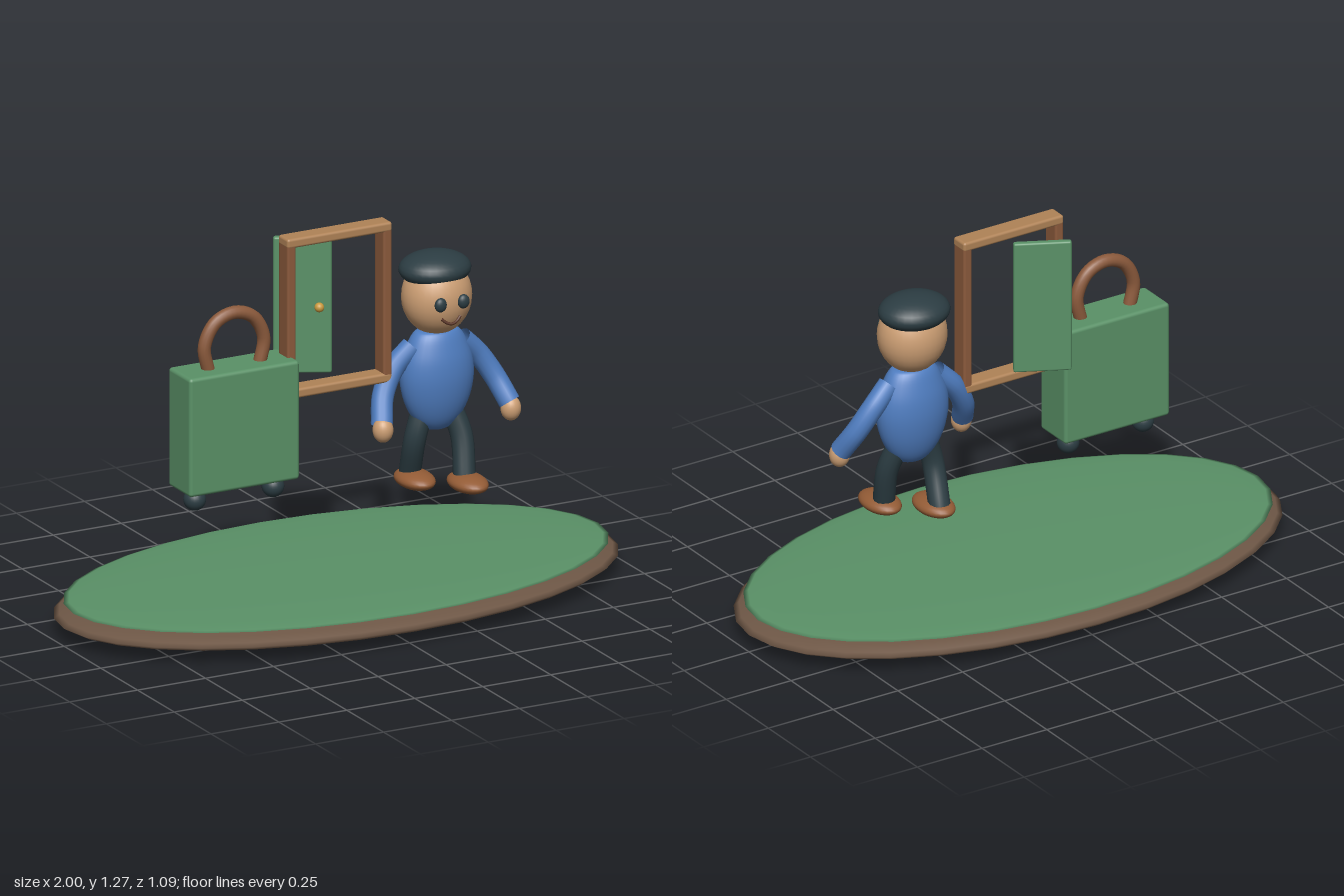
import * as THREE from 'three';
import { RoundedBoxGeometry } from 'three/addons/geometries/RoundedBoxGeometry.js';

const mat = (color, side = THREE.FrontSide) => new THREE.MeshStandardMaterial({ color, side });
const GREEN = mat(0x5a9167), EARTH = mat(0x6e5746), WOOD = mat(0x8b5a3c), PALE_WOOD = mat(0xb08357);
const LEATHER = mat(0x8b5a3c, THREE.DoubleSide), DARK = mat(0x2c3d43), SKIN = mat(0xcd9f74);
const SHIRT = mat(0x4f7dc0, THREE.DoubleSide), TROUSERS = mat(0x2c3d43, THREE.DoubleSide);
const SHOE = mat(0x945c36), BRASS = mat(0xc99a3f), LIP = mat(0x5a3526);

function add(parent, name, geometry, material, x = 0, y = 0, z = 0) {
  const mesh = new THREE.Mesh(geometry, material);
  mesh.name = name;
  mesh.position.set(x, y, z);
  parent.add(mesh);
  return mesh;
}

function ellipsoid(parent, name, material, [x, y, z], [rx, ry, rz], w = 32, h = 16) {
  const geometry = new THREE.SphereGeometry(1, w, h).scale(rx, ry, rz);
  return add(parent, name, geometry, material, x, y, z);
}

function box(parent, name, material, [x, y, z], [w, h, d], r) {
  return add(parent, name, new RoundedBoxGeometry(w, h, d, 3, r), material, x, y, z);
}

function tube(parent, name, material, points, radius) {
  const curve = new THREE.CatmullRomCurve3(points.map(p => new THREE.Vector3(...p)));
  return add(parent, name, new THREE.TubeGeometry(curve, 32, radius, 14), material);
}

function group(parent, name) {
  const g = new THREE.Group();
  g.name = name;
  parent.add(g);
  return g;
}

export function createModel() {
  const model = new THREE.Group();
  model.name = 'travellerScene';

  // Oval ground: earth below, grass on top
  const ground = group(model, 'island');
  ellipsoid(ground, 'earth', EARTH, [0, 0.06, 0], [1, 0.06, 0.545]);
  ellipsoid(ground, 'grass', GREEN, [0, 0.105, 0], [0.965, 0.018, 0.525]);

  // Suitcase with arched handle and two wheels
  const suitcase = group(model, 'suitcase');
  box(suitcase, 'caseBody', GREEN, [-0.375, 0.662, 0], [0.405, 0.405, 0.15], 0.012);
  tube(suitcase, 'handle', LEATHER, [
    [-0.468, 0.85, 0], [-0.484, 0.94, 0], [-0.445, 1.015, 0], [-0.375, 1.041, 0],
    [-0.305, 1.015, 0], [-0.266, 0.94, 0], [-0.282, 0.85, 0],
  ], 0.022);
  for (const x of [-0.52, -0.232]) {
    ellipsoid(suitcase, 'wheel', DARK, [x, 0.425, 0], [0.037, 0.037, 0.037], 24, 16);
  }

  // Door frame
  const doorway = group(model, 'doorway');
  for (const x of [-0.179, 0.174]) {
    box(doorway, 'post', WOOD, [x, 0.994, 0], [0.032, 0.52, 0.064], 0.008);
  }
  for (const y of [1.252, 0.737]) {
    box(doorway, 'crossbeam', PALE_WOOD, [-0.0025, y, 0], [0.386, 0.033, 0.066], 0.009);
  }

  // Door standing ajar behind the frame
  const door = group(doorway, 'door');
  door.position.set(-0.077, 0.995, -0.086);
  door.rotation.y = -0.47;
  box(door, 'doorPanel', GREEN, [0, 0, 0], [0.19, 0.465, 0.024], 0.007);
  ellipsoid(door, 'knob', BRASS, [0.054, -0.005, 0.02], [0.016, 0.016, 0.016], 20, 12);

  // Walking person
  const person = group(model, 'person');
  person.position.x = 0.37;
  const profile = [
    [0, 0.523], [0.045, 0.532], [0.085, 0.57], [0.115, 0.63], [0.129, 0.7],
    [0.124, 0.765], [0.104, 0.82], [0.083, 0.855], [0.06, 0.867], [0, 0.87],
  ].map(p => new THREE.Vector2(...p));
  const outline = new THREE.SplineCurve(profile).getPoints(36);
  outline.forEach(p => { p.x = Math.max(p.x, 0); });
  add(person, 'torso', new THREE.LatheGeometry(outline, 32).scale(1, 1, 0.67), SHIRT);

  // Head, cap and face
  ellipsoid(person, 'head', SKIN, [0, 0.98, 0], [0.118, 0.129, 0.108]);
  ellipsoid(person, 'cap', DARK, [0, 1.07, -0.012], [0.122, 0.057, 0.107]);
  for (const s of [-1, 1]) {
    ellipsoid(person, 'eye', DARK, [s * 0.042, 0.983, 0.106], [0.021, 0.024, 0.015], 20, 14);
  }
  tube(person, 'mouth', LIP,
    [[-0.035, 0.932, 0.097], [-0.018, 0.918, 0.103], [0, 0.913, 0.106],
      [0.018, 0.918, 0.103], [0.035, 0.932, 0.097]], 0.005);

  // Arms swung a little forward
  for (const s of [-1, 1]) {
    tube(person, 'arm', SHIRT,
      [[s * 0.09, 0.82, 0], [s * 0.155, 0.755, -0.005], [s * 0.205, 0.675, 0.015], [s * 0.235, 0.595, 0.062]], 0.036);
    ellipsoid(person, 'hand', SKIN, [s * 0.235, 0.577, 0.07], [0.034, 0.042, 0.034], 24, 16);
  }

  // Striding legs: left forward, right back
  for (const [s, knee, ankle, foot] of [[1, 0.03, 0.066, 0.088], [-1, -0.008, -0.06, -0.025]]) {
    tube(person, 'leg', TROUSERS,
      [[s * 0.045, 0.61, -0.005], [s * 0.075, 0.5, knee], [s * 0.067, 0.36, ankle]], 0.037);
    ellipsoid(person, 'shoe', SHOE, [s * 0.067, 0.355, foot], [0.06, 0.03, 0.092], 28, 16);
  }

  return model;
}
